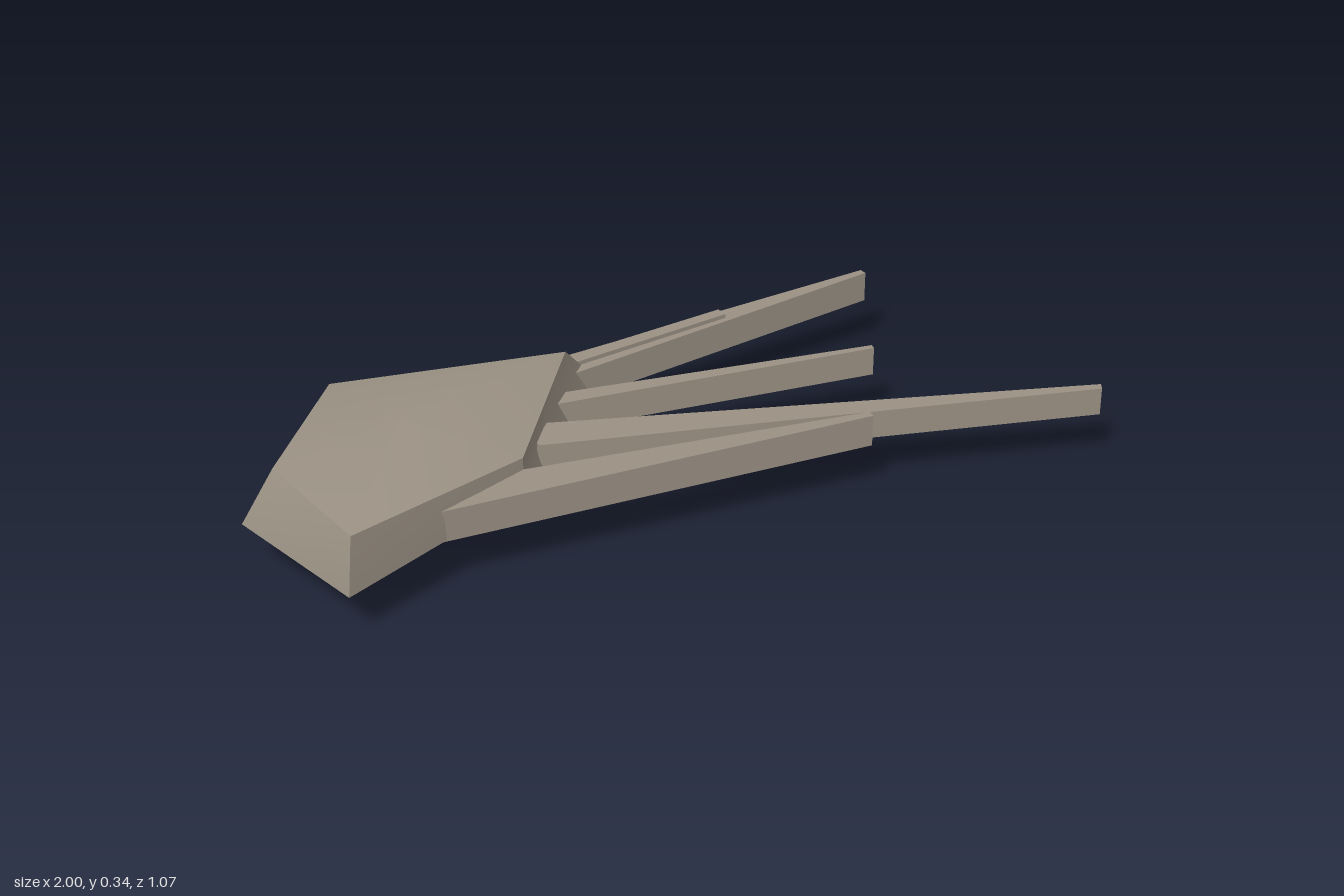
import * as THREE from 'three';
import { toCreasedNormals } from 'three/addons/utils/BufferGeometryUtils.js';

const mix = THREE.MathUtils.lerp;

// Faceted hull: two five-sided rings closed by a top and a bottom apex
function hullGeometry() {
  const lower = [[-1, 0.138, -0.25], [-0.615, 0.121, -0.535], [0.1, 0.094, -0.325], [-0.4, 0.152, 0.04], [-0.94, 0.127, 0.145]];
  const upper = [[-0.92, 0.273, -0.23], [-0.615, 0.27, -0.5], [-0.065, 0.281, -0.285], [-0.4, 0.252, 0.037], [-0.915, 0.272, 0.123]];
  const top = [-0.615, 0.338, -0.16], bottom = [-0.615, 0, -0.16];
  const p = [];
  for (let i = 0; i < 5; i++) {
    const j = (i + 1) % 5;
    p.push(...top, ...upper[j], ...upper[i]);
    p.push(...bottom, ...lower[i], ...lower[j]);
    p.push(...lower[j], ...lower[i], ...upper[i]);
    p.push(...lower[j], ...upper[i], ...upper[j]);
  }
  const g = new THREE.BufferGeometry();
  g.setAttribute('position', new THREE.Float32BufferAttribute(p, 3));
  return toCreasedNormals(g, 0.5);
}

// Upright slab with a flat outline given as [x, z] corners
function slab(corners, y0, y1) {
  const shape = new THREE.Shape(corners.map(([x, z]) => new THREE.Vector2(x, -z)));
  const g = new THREE.ExtrudeGeometry(shape, { depth: y1 - y0, bevelEnabled: false });
  return g.rotateX(-Math.PI / 2).translate(0, y0, 0);
}

// Tapering spar, straight on its front side and rounded on its back
function roundedSpar() {
  const profile = [[0, 0.137], [0.84, 0.137], [0.92, 0.155], [0.98, 0.18], [1, 0.2], [0.99, 0.219], [0, 0.219]];
  const shape = new THREE.Shape(profile.map(([u, y]) => new THREE.Vector2(u, y)));
  const g = new THREE.ExtrudeGeometry(shape, { depth: 1, bevelEnabled: false });
  const pos = g.attributes.position;
  for (let i = 0; i < pos.count; i++) {
    const u = pos.getX(i), t = pos.getZ(i);
    pos.setX(i, mix(-0.27, 0.88, t));
    pos.setZ(i, -0.272 - u * mix(0.107, 0.02, t));
  }
  g.deleteAttribute('normal');
  return toCreasedNormals(g, 0.8);
}

export function createModel() {
  const model = new THREE.Group();
  const metal = new THREE.MeshStandardMaterial({ color: 0x9b9184 });
  metal.name = 'warm grey';

  const add = (name, geometry) => {
    const mesh = new THREE.Mesh(geometry, metal);
    mesh.name = name;
    model.add(mesh);
  };

  add('hull', hullGeometry());

  // Blades fanning out from the hull's side
  add('frontBlade', slab([[-0.68, 0.08], [0.43, 0.32], [0.435, 0.3], [-0.68, -0.05]], 0.137, 0.221));
  add('longBlade', slab([[-0.3, -0.045], [0.987, 0.53], [1, 0.512], [-0.3, -0.16]], 0.137, 0.211));
  add('middleBlade', slab([[-0.2, -0.19], [0.65, 0.05], [0.655, 0.035], [-0.2, -0.245]], 0.137, 0.214));

  // Rear spar with its raised cap
  add('rearSpar', roundedSpar());
  add('sparCap', slab([[-0.18, -0.305], [0.43, -0.287], [0.43, -0.318], [-0.18, -0.345]], 0.2, 0.23));

  return model;
}
